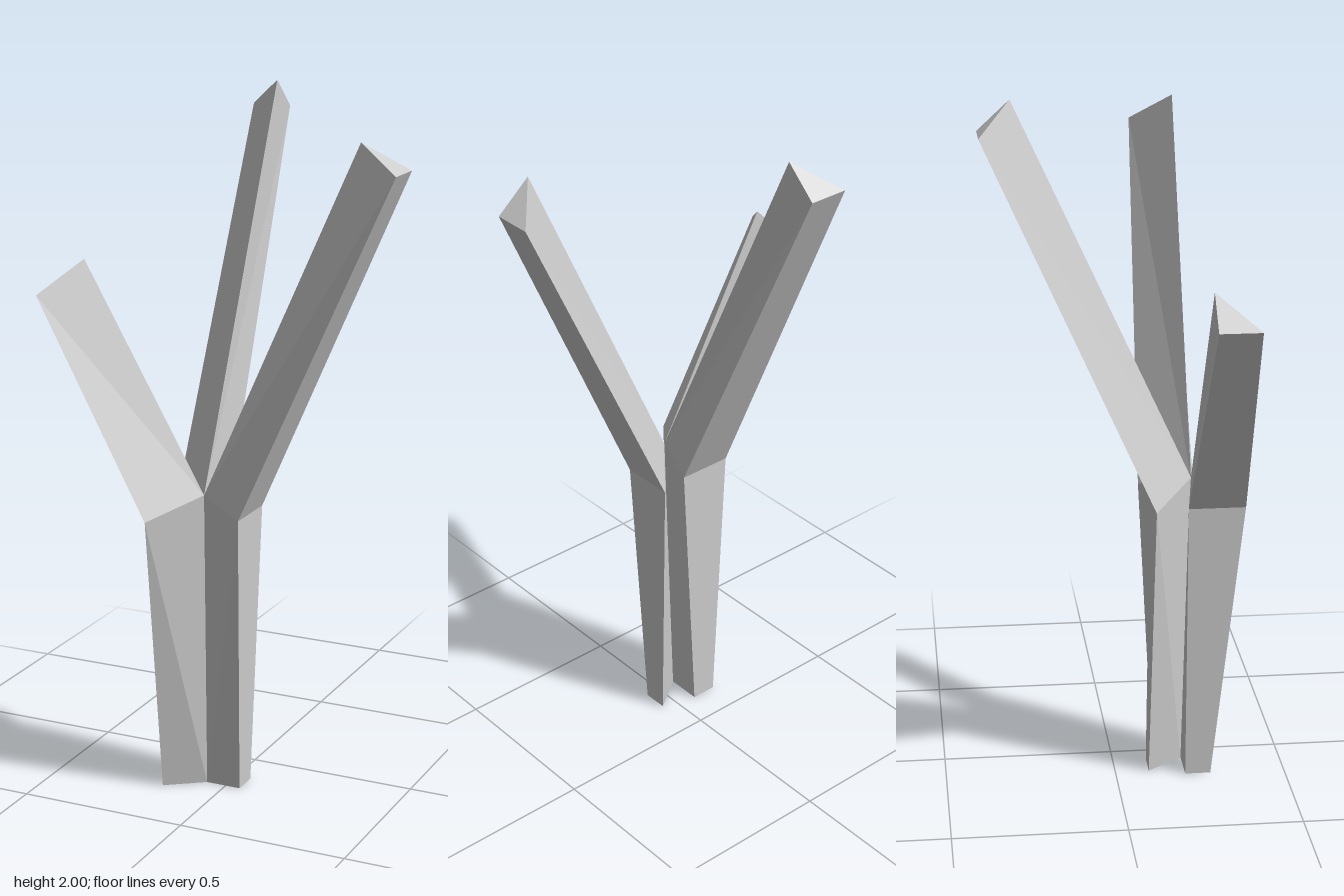
import * as THREE from 'three';

// Joins triangular sections (inner, aligned and offset corner) into a closed limb.
function limb(name, sections, material) {
  const pos = [];
  const tri = (a, b, c) => pos.push(...a, ...b, ...c);
  for (let s = 0; s < sections.length - 1; s++) {
    const lo = sections[s], hi = sections[s + 1];
    for (let i = 0; i < 3; i++) {
      const j = (i + 1) % 3;
      if (i === 2) { // fold runs from the inner corner on both sides
        tri(lo[i], lo[j], hi[i]);
        tri(lo[j], hi[j], hi[i]);
      } else {
        tri(lo[i], lo[j], hi[j]);
        tri(lo[i], hi[j], hi[i]);
      }
    }
  }
  // End caps
  const base = sections[0], tip = sections[sections.length - 1];
  tri(base[0], base[2], base[1]);
  tri(tip[0], tip[1], tip[2]);
  const geo = new THREE.BufferGeometry();
  geo.setAttribute('position', new THREE.Float32BufferAttribute(pos, 3));
  geo.computeVertexNormals();
  const mesh = new THREE.Mesh(geo, material);
  mesh.name = name;
  return mesh;
}

export function createModel() {
  const group = new THREE.Group();
  group.name = 'forkedTrunk';
  const grey = new THREE.MeshStandardMaterial({ color: 0xcccccc, flatShading: true });
  grey.name = 'lightGrey';

  // All three limbs share the inner edge of the trunk
  const root = [-0.06, 0, 0.205];
  const fork = [-0.053, 0.89, 0.228];

  group.add(limb('leftBranch', [
    [root, [0.045, 0, 0.205], [0.045, 0, 0.13]],
    [fork, [0.063, 0.835, 0.25], [0.063, 0.835, 0.087]],
    [[0.41, 1.92, 0.223], [0.51, 1.835, 0.223], [0.51, 1.835, 0.106]],
  ], grey));

  group.add(limb('backBranch', [
    [root, [-0.06, 0, 0.1], [-0.137, 0, 0.1]],
    [fork, [-0.031, 0.835, 0.112], [-0.195, 0.835, 0.112]],
    [[-0.06, 2, -0.283], [-0.06, 1.915, -0.375], [-0.177, 1.915, -0.375]],
  ], grey));

  group.add(limb('rightBranch', [
    [root, [-0.168, 0, 0.205], [-0.168, 0, 0.28]],
    [fork, [-0.168, 0.835, 0.207], [-0.168, 0.835, 0.372]],
    [[-0.42, 1.54, 0.235], [-0.51, 1.45, 0.235], [-0.51, 1.45, 0.354]],
  ], grey));

  return group;
}
